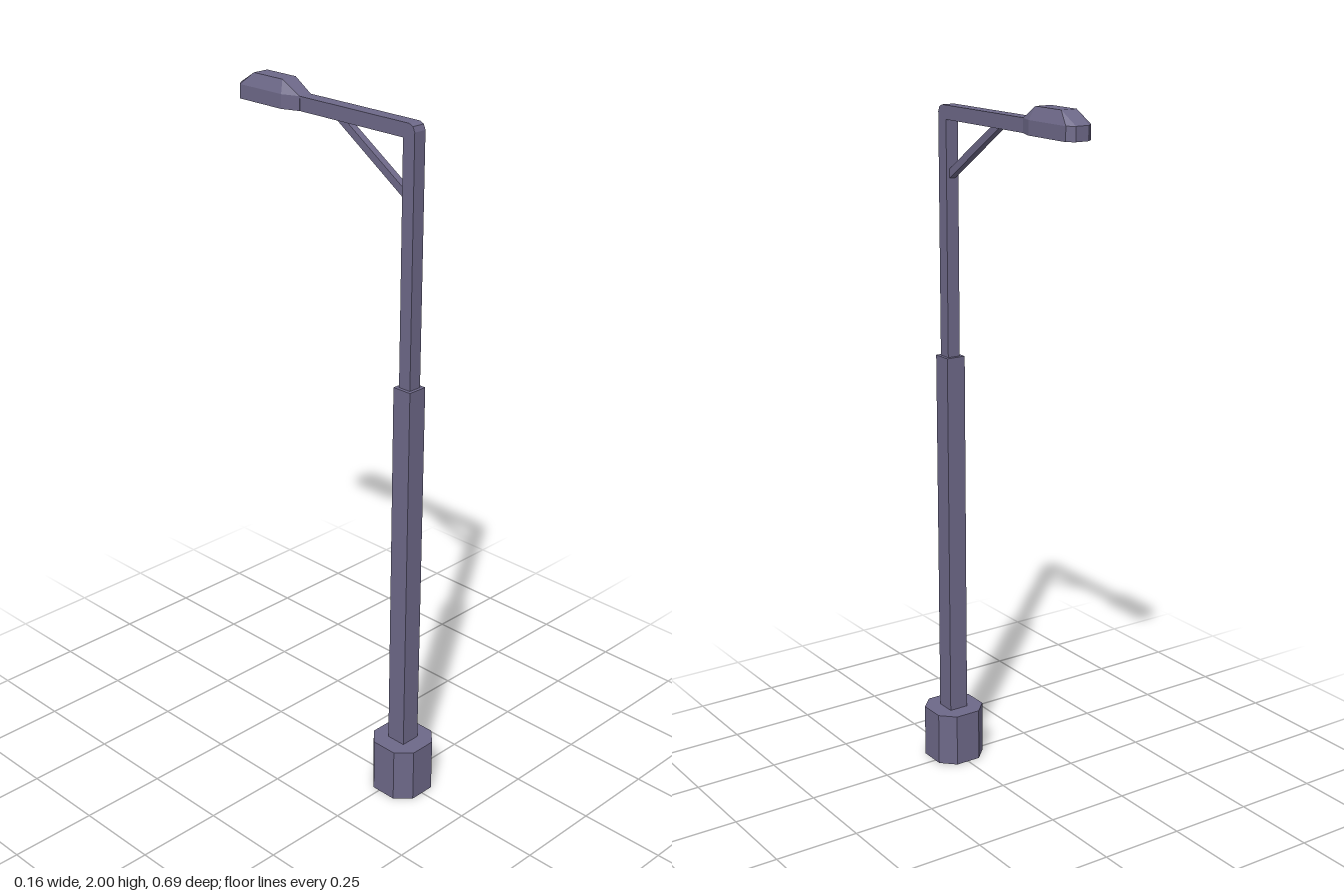
import * as THREE from 'three';
import { ConvexGeometry } from 'three/addons/geometries/ConvexGeometry.js';

const POLE_Z = 0.267;

export function createModel() {
  const group = new THREE.Group();
  const metal = new THREE.MeshStandardMaterial({ color: 0x6d6888 });
  metal.name = 'purple grey metal';
  const glass = new THREE.MeshStandardMaterial({ color: 0x9a94ac });
  glass.name = 'pale lamp glass';

  const add = (name, geometry, material = metal) => {
    const mesh = new THREE.Mesh(geometry, material);
    mesh.name = name;
    group.add(mesh);
    return mesh;
  };
  const shapeOf = (pts) => new THREE.Shape(pts.map(([x, y]) => new THREE.Vector2(x, y)));

  // Side profile given as (z, y), extruded across x
  const sideExtrude = (pts, width) => {
    const g = new THREE.ExtrudeGeometry(shapeOf(pts), { depth: width, bevelEnabled: false });
    return g.translate(0, 0, -width / 2).rotateY(-Math.PI / 2);
  };

  // Eight-sided foot with chamfered corners
  const r = 0.079, c = 0.039;
  const octagon = [[r, -c], [r, c], [c, r], [-c, r], [-r, c], [-r, -c], [-c, -r], [c, -r]];
  const foot = new THREE.ExtrudeGeometry(shapeOf(octagon), { depth: 0.158, bevelEnabled: false });
  add('foot', foot.rotateX(-Math.PI / 2).translate(0, 0, POLE_Z));

  // Thick lower pole
  add('lowerPole', new THREE.BoxGeometry(0.059, 1.098, 0.059).translate(0, 0.706, POLE_Z));

  // Thin upper pole bending into the arm
  add('upperPoleAndArm', sideExtrude([
    [0.248, 1.25], [0.287, 1.25], [0.287, 1.945], [0.281, 1.959], [0.268, 1.965],
    [-0.125, 1.965], [-0.125, 1.926], [0.248, 1.926],
  ], 0.039));

  // Diagonal brace under the arm
  add('brace', sideExtrude([[0.252, 1.762], [0.252, 1.788], [0.036, 1.93], [-0.002, 1.93]], 0.02));

  // Faceted lamp head: a straight-sided rim with a narrower top
  const points = [];
  for (const s of [-1, 1]) {
    for (const [x, z] of [[0.02, -0.12], [0.039, -0.17], [0.039, -0.33], [0.02, -0.347]]) {
      points.push(new THREE.Vector3(s * x, 1.926, z), new THREE.Vector3(s * x, 1.965, z));
    }
    for (const z of [-0.18, -0.29]) points.push(new THREE.Vector3(s * 0.024, 2, z));
  }
  add('lampHead', new ConvexGeometry(points));

  // Lamp glass on the underside
  add('lampGlass', new THREE.BoxGeometry(0.046, 0.004, 0.13).translate(0, 1.925, -0.245), glass);

  return group;
}
